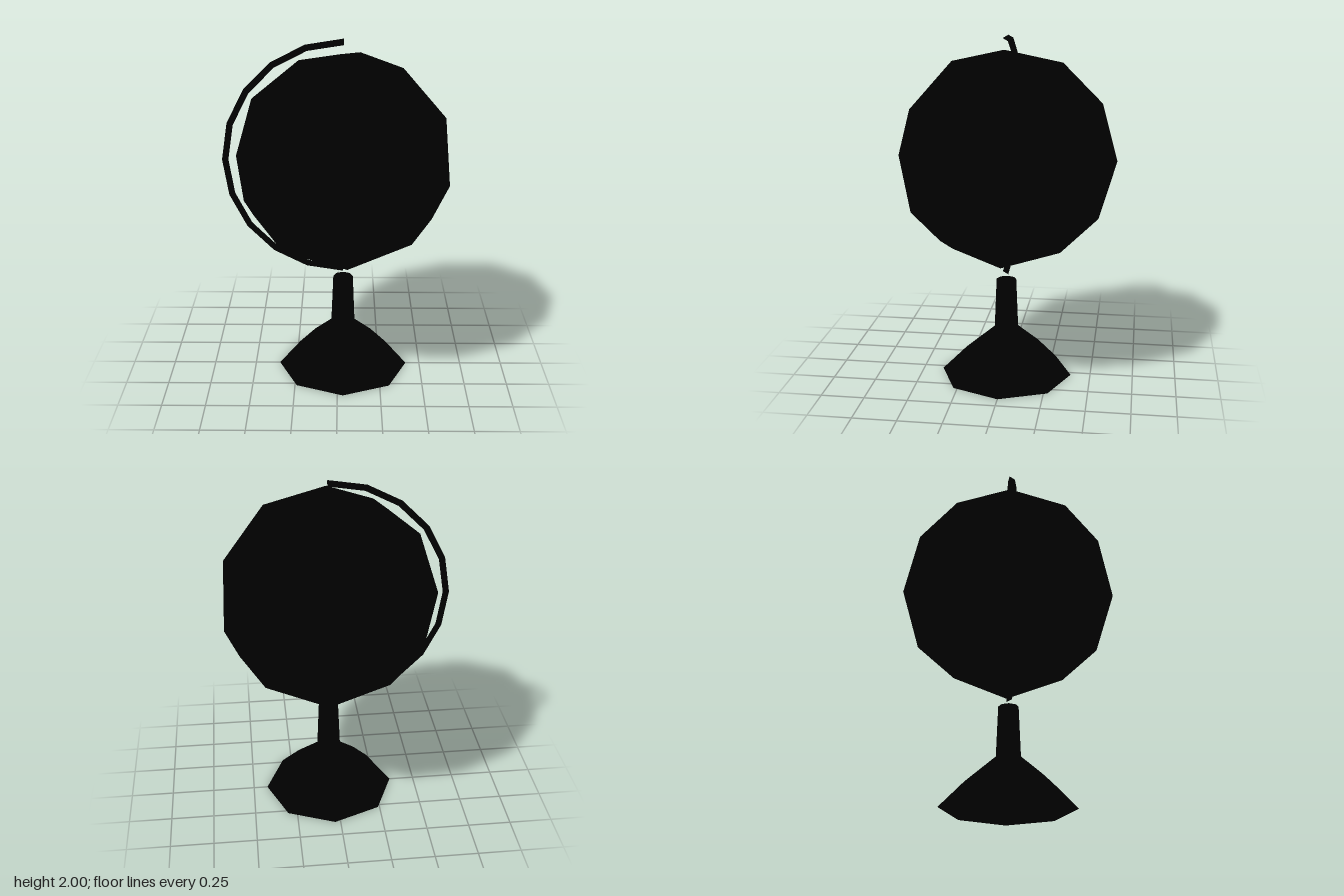
import * as THREE from 'three';

const black = new THREE.MeshStandardMaterial({ color: 0x000000, side: THREE.DoubleSide });
black.name = 'black';

const AXIS_X = 0.032; // vertical axis of stand and globe
const GLOBE_Y = 1.307;

function part(name, geometry) {
  const mesh = new THREE.Mesh(geometry, black);
  mesh.name = name;
  return mesh;
}

// Half circle on the model's right side, from above the globe to below it
class HalfCircle extends THREE.Curve {
  constructor(radius) {
    super();
    this.radius = radius;
  }
  getPoint(t, target = new THREE.Vector3()) {
    const a = Math.PI * (0.5 + t);
    return target.set(Math.cos(a) * this.radius, Math.sin(a) * this.radius, 0);
  }
}

export function createModel() {
  const model = new THREE.Group();
  model.name = 'deskGlobe';

  // Tilted ball
  const globe = part('globe', new THREE.IcosahedronGeometry(0.627, 1));
  globe.position.set(AXIS_X, GLOBE_Y, 0);
  globe.rotation.z = THREE.MathUtils.degToRad(23.4);
  model.add(globe);

  // Thin three-sided arm around the ball
  const arm = part('arm', new THREE.TubeGeometry(new HalfCircle(0.675), 10, 0.021, 3, false));
  arm.position.set(AXIS_X, GLOBE_Y, 0);
  model.add(arm);

  // Eight-sided foot and neck
  const stand = new THREE.Group();
  stand.name = 'stand';
  stand.position.x = AXIS_X;
  const foot = [[0.385, 0], [0.242, 0.145], [0.07, 0.29]];
  const neck = [[0.07, 0.29], [0.058, 0.585]];
  for (const [name, profile] of [['foot', foot], ['neck', neck]]) {
    const points = profile.map(([r, y]) => new THREE.Vector2(r, y));
    // Quarter turn puts corners on the x and z axes
    stand.add(part(name, new THREE.LatheGeometry(points, 8)));
  }

  // Closing faces of the stand
  const underside = part('footUnderside', new THREE.CircleGeometry(0.385, 8).rotateX(Math.PI / 2));
  const neckTop = part('neckTop', new THREE.CircleGeometry(0.058, 8).rotateX(-Math.PI / 2));
  neckTop.position.y = 0.585;
  stand.add(underside, neckTop);
  model.add(stand);

  return model;
}
